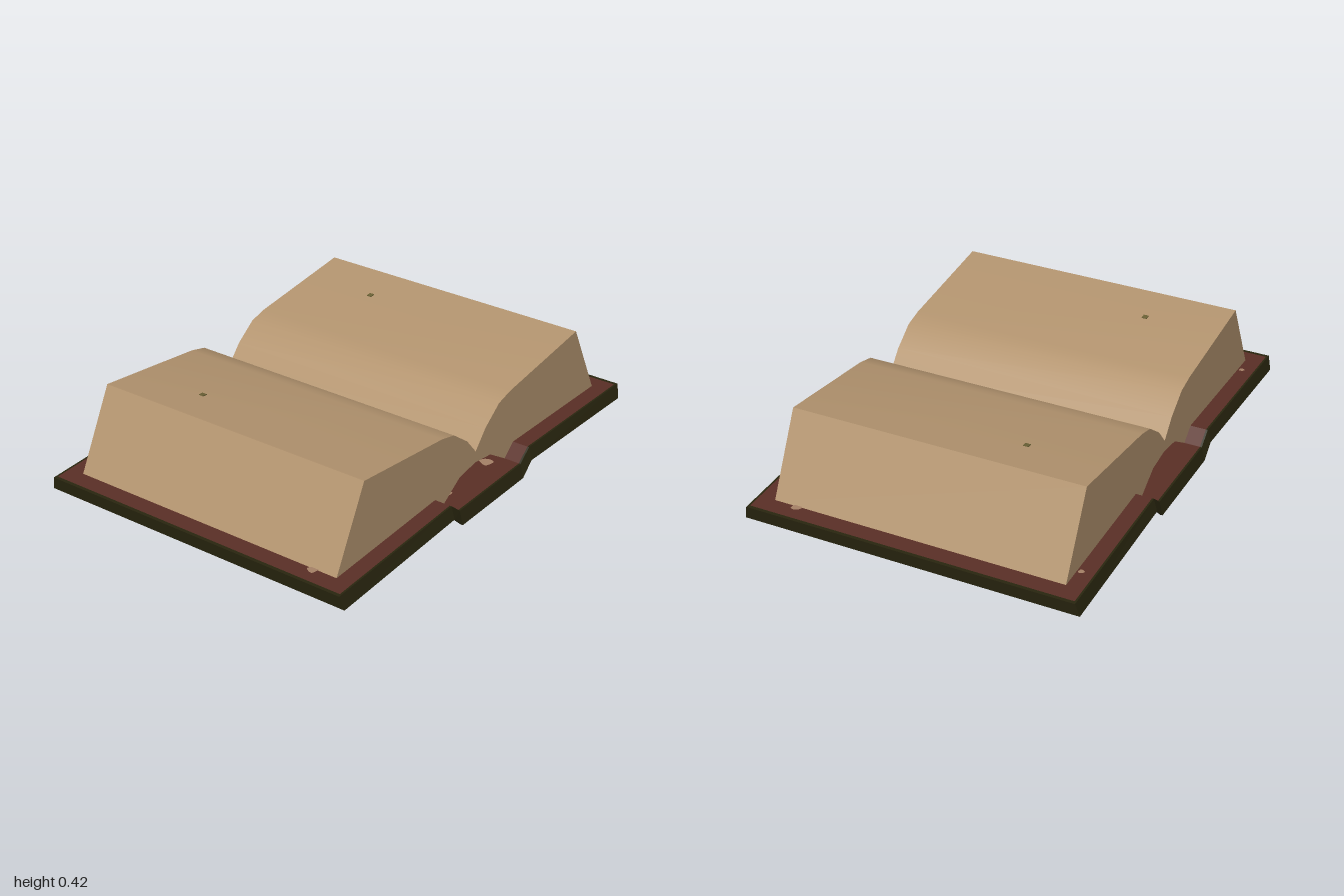
import * as THREE from 'three';
import { toCreasedNormals } from 'three/addons/utils/BufferGeometryUtils.js';

const mat = (name, color, side = THREE.FrontSide) => {
  const m = new THREE.MeshStandardMaterial({ color, side });
  m.name = name;
  return m;
};

// Heights of the cover at the stations: edge, hinge, spine, spine, hinge, edge
const TOP = [0.09, 0.11, 0.06, 0.06, 0.11, 0.09];
const BOTTOM = [0.03, 0.055, 0, 0, 0.055, 0.03];
const UNDER = [0.065, 0.088, 0.036, 0.036, 0.088, 0.065];
const stations = (edge) => [-edge, -0.28, -0.22, 0.22, 0.28, edge];

// Height of a cover surface at any x
function heightAt(x, ys) {
  const xs = stations(0.99);
  let i = 0;
  while (i < 4 && x > xs[i + 1]) i++;
  return THREE.MathUtils.mapLinear(x, xs[i], xs[i + 1], ys[i], ys[i + 1]);
}

// Closed loop round the cover: along the front, then back along the rear
function loop(edge, z, ys) {
  const front = stations(edge).map((x, i) => [x, ys[i], z]);
  return [...front, ...front.map(([x, y]) => [x, y, -z]).reverse()];
}

function quads(list) {
  const pos = list.flatMap(([a, b, c, d]) => [a, b, c, a, c, d].flat());
  const g = new THREE.BufferGeometry();
  g.setAttribute('position', new THREE.Float32BufferAttribute(pos, 3));
  g.computeVertexNormals();
  return g;
}

// Band between two loops
const skin = (low, high) => low.map((p, i) => {
  const j = (i + 1) % low.length;
  return [p, low[j], high[j], high[i]];
});

// Surface closing a loop
const fill = (l, up) => [0, 1, 2, 3, 4].map((i) => {
  const q = [l[i], l[i + 1], l[10 - i], l[11 - i]];
  return up ? q : q.reverse();
});

export function createModel() {
  const group = new THREE.Group();
  const paper = mat('paper', 0xb3946f);
  const maroon = mat('maroon leather', 0x5a2f26);
  const green = mat('dark green edging', 0x29260f);
  const red = mat('mushroom red', 0xb02832, THREE.DoubleSide);
  const grey = mat('stem grey', 0xcabbac, THREE.DoubleSide);
  const moss = mat('moss', 0x6a6135, THREE.DoubleSide);
  const tan = mat('tan', 0xa58066, THREE.DoubleSide);

  const add = (name, geometry, material) => {
    const m = new THREE.Mesh(geometry, material);
    m.name = name;
    group.add(m);
    return m;
  };

  // Cover: inner lining, raised rim, recessed outside panel
  const a = loop(0.985, 0.69, TOP);
  const b = loop(1, 0.698, TOP);
  const c = loop(0.988, 0.713, BOTTOM);
  const d = loop(0.975, 0.703, BOTTOM);
  const e = loop(0.965, 0.69, UNDER);
  add('coverLining', quads(fill(a, true)), maroon);
  add('coverRim', quads([...skin(b, a), ...skin(c, b), ...skin(d, c), ...skin(e, d)]), green);
  add('coverOutside', quads(fill(e, false)), maroon);

  // Page block with a curved gutter and an arched gap over the spine
  const half = [[0.065, 0.27], [0.16, 0.34], [0.24, 0.36], [0.745, 0.42],
    [0.915, 0.088], [0.28, 0.105], [0.22, 0.06], [0.11, 0.13]];
  const outline = [[0, 0.195], ...half, [0, 0.145],
    ...half.map(([x, y]) => [-x, y]).reverse()];
  const pages = new THREE.ExtrudeGeometry(
    new THREE.Shape(outline.map(([x, y]) => new THREE.Vector2(x, y))),
    { depth: 1.244, bevelEnabled: false });
  pages.translate(0, 0, -0.622);
  add('pages', toCreasedNormals(pages, 0.55), paper);

  // Painted patch following a cover surface; points are (x, z)
  function patch(name, pts, material, ys, lift) {
    const v = pts.map(([x, z]) => new THREE.Vector2(x, z));
    const curve = new THREE.SplineCurve([...v, v[0]]);
    const g = new THREE.ShapeGeometry(new THREE.Shape(curve.getPoints(36).slice(0, -1)));
    const p = g.attributes.position;
    for (let i = 0; i < p.count; i++) {
      const x = p.getX(i), z = p.getY(i);
      p.setXYZ(i, x, heightAt(x, ys) + lift, z);
    }
    g.computeVertexNormals();
    add(name, g, material);
  }
  const spot = (x, z, r, ys, lift) => patch('spot', [0, 1, 2, 3, 4, 5, 6].map((i) => {
    const t = (i / 7) * Math.PI * 2, k = r * (i % 2 ? 1 : 0.8);
    return [x + k * Math.cos(t), z + k * Math.sin(t)];
  }), tan, ys, lift);

  // Mushroom cluster, drawn on both outside panels
  const art = [
    ['mossMound', moss, [[-58, -5], [-45, -3], [-30, -10], [-12, -18], [2, -19], [-8, -28], [-35, -27], [-52, -17]]],
    ['largeCap', red, [[-2, 20], [15, 29], [53, 28], [56, 18], [48, 5], [35, 2], [15, 8]]],
    ['lowCap', red, [[28, 4], [42, -3], [43, -19], [30, -16], [20, -5]]],
    ['leftCap', red, [[-54, 6], [-35, 19], [-10, 25], [-3, 17], [-28, 9], [-48, 3]]],
    ['capUnderside', tan, [[8, 6], [24, 7], [42, 3], [30, -5], [14, -4]]],
    ['stems', grey, [[-48, 2], [-22, 10], [5, 6], [20, 9], [24, 0], [8, -3], [20, -18], [9, -25],
      [-4, -11], [-13, -10], [-10, -24], [-24, -20], [-30, -6]]],
  ];
  for (const cx of [0.6, -0.52]) {
    art.forEach(([name, material, pts], i) => patch(name,
      pts.map(([u, v]) => [cx - 0.005 * u + 0.0085 * v, -0.07 - 0.00426 * u - 0.01 * v]),
      material, UNDER, -0.002 - 0.001 * i));
  }

  // Worn spots outside and inside the cover
  for (const s of [-1, 1]) {
    spot(s * 0.88, -0.6, 0.045, UNDER, -0.002);
    spot(s * 0.16, -0.575, 0.045, UNDER, -0.002);
    spot(s * 0.15, 0.6, 0.03, UNDER, -0.002);
    spot(s * 0.84, 0.47, 0.03, UNDER, -0.002);
    spot(s * 0.922, 0.52, 0.022, TOP, 0.003);
    spot(s * 0.82, -0.64, 0.013, TOP, 0.003);
    spot(s * 0.15, 0.58, 0.03, TOP, 0.003);

    // Small mark on each page
    const mark = add('pageMark', new THREE.BoxGeometry(0.022, 0.006, 0.022), moss);
    mark.position.set(s * 0.56, 0.398, -0.29);
    mark.rotation.z = s * 0.118;
  }
  return group;
}
